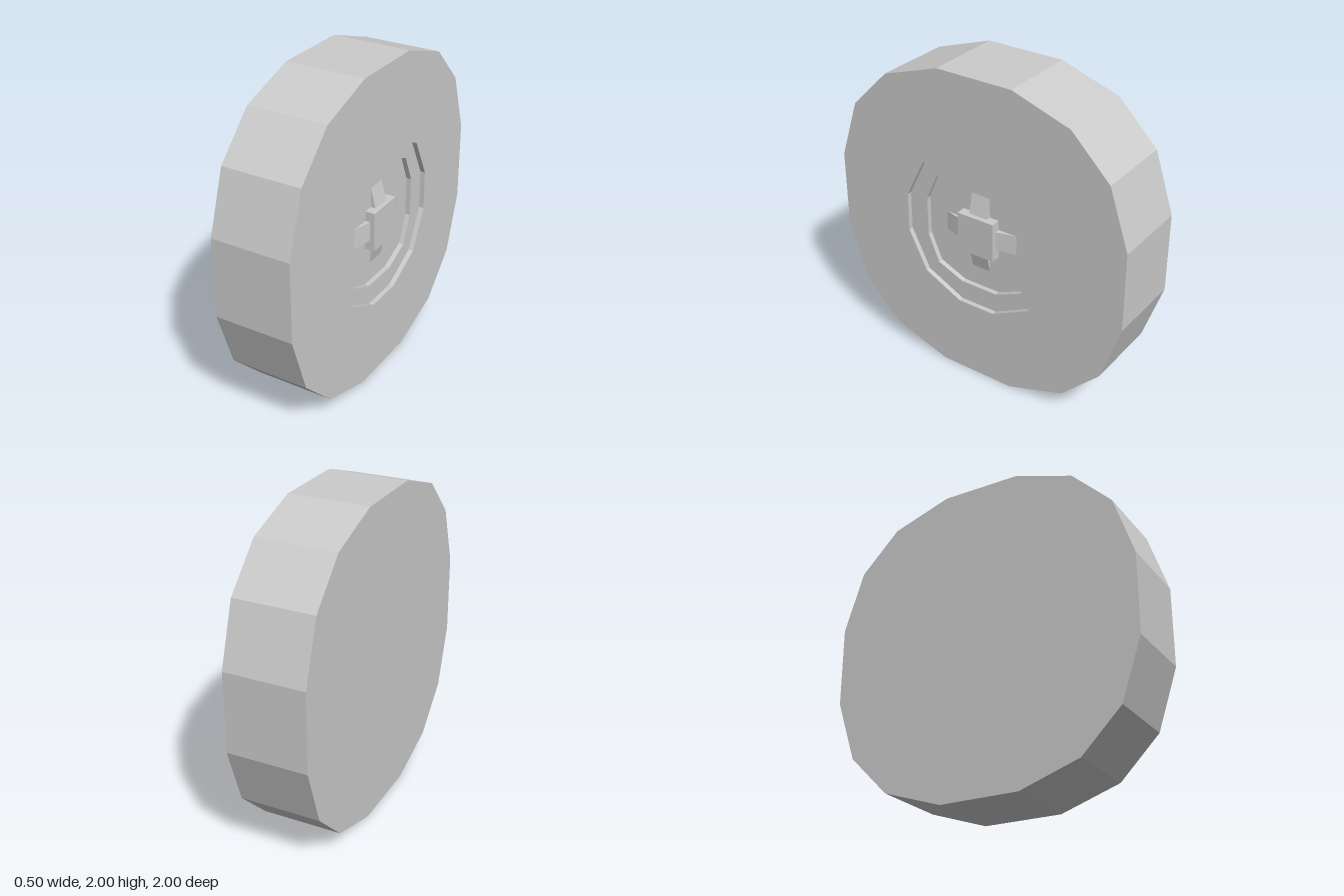
import * as THREE from 'three';

const HALF = 0.25;    // half the thickness of the disc
const STEP = 0.03125; // depth of one recess step

// Corner points of one quadrant, as [across, up]
const RIM = [[1, 0.25], [0.875, 0.625], [0.625, 0.875], [0.25, 1]];
const OUTER_RECESS = [[0.5, 0.125], [0.375, 0.375], [0.125, 0.5]];
const INNER_RECESS = [[0.375, 0.125], [0.3, 0.3], [0.125, 0.375]];

// Turns a quadrant through four quarter turns into a closed outline
function outline(quadrant) {
  const points = [];
  for (let i = 0; i < 4; i++) {
    for (const [x, y] of quadrant) {
      points.push(new THREE.Vector2(x, y).rotateAround(new THREE.Vector2(), i * Math.PI / 2));
    }
  }
  return points;
}

// Slab of the disc between two depths, with an optional hole
function slab(from, to, hole) {
  const shape = new THREE.Shape(outline(RIM));
  if (hole) shape.holes.push(new THREE.Path(outline(hole)));
  const geometry = new THREE.ExtrudeGeometry(shape, { depth: to - from, bevelEnabled: false });
  return geometry.translate(0, 0, from);
}

export function createModel() {
  const material = new THREE.MeshStandardMaterial({ color: 0xcccccc, flatShading: true });
  const model = new THREE.Group();
  model.name = 'wheel';
  const add = (name, geometry) => {
    const mesh = new THREE.Mesh(geometry, material);
    mesh.name = name;
    model.add(mesh);
    return mesh;
  };

  // Disc with a two-step recess in its outer face
  const floor = HALF - 2 * STEP;
  add('tireBody', slab(-HALF, floor));
  add('innerRecessStep', slab(floor, HALF - STEP, INNER_RECESS));
  add('outerRecessStep', slab(HALF - STEP, HALF, OUTER_RECESS));

  // Square hub block, level with the outer face
  add('hubBlock', new THREE.BoxGeometry(0.25, 0.25, 2 * STEP).translate(0, 0, HALF - STEP));

  // Four wedges sloping from the hub down to the recess floor
  const profile = new THREE.Shape([
    new THREE.Vector2(0.125, 0),
    new THREE.Vector2(0.25, 0),
    new THREE.Vector2(0.125, STEP),
  ]);
  const wedge = new THREE.ExtrudeGeometry(profile, { depth: 0.125, bevelEnabled: false });
  wedge.rotateX(Math.PI / 2).translate(0, 0.0625, floor);
  for (let i = 0; i < 4; i++) add('hubWedge' + (i + 1), wedge).rotation.z = i * Math.PI / 2;

  // Turn the outer face towards +x and stand the wheel on the ground
  model.rotation.y = Math.PI / 2;
  model.position.y = 1;
  const root = new THREE.Group();
  root.name = 'wheelRoot';
  root.add(model);
  return root;
}
